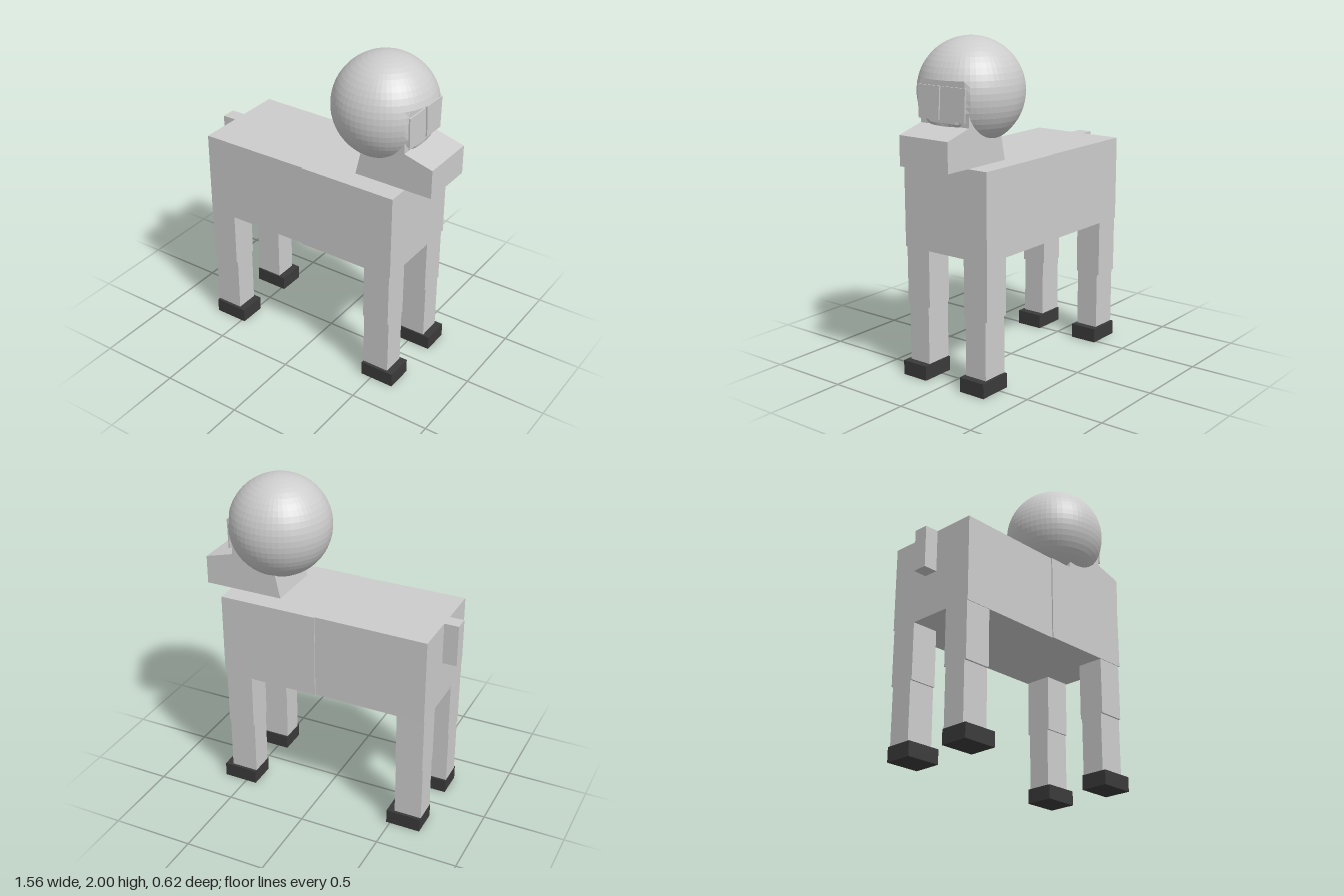
import * as THREE from 'three';

const coat = new THREE.MeshStandardMaterial({ color: 0xcccccc, flatShading: true });
coat.name = 'grey coat';
const dark = new THREE.MeshStandardMaterial({ color: 0x3a3a3a, flatShading: true });
dark.name = 'dark hoof';

export function createModel() {
  const model = new THREE.Group();
  model.name = 'animal';

  const add = (name, geometry, material = coat, parent = model) => {
    const mesh = new THREE.Mesh(geometry, material);
    mesh.name = name;
    parent.add(mesh);
    return mesh;
  };
  // box given by its lower and upper limits on each axis
  const box = (x0, x1, y0, y1, z0, z1) =>
    new THREE.BoxGeometry(x1 - x0, y1 - y0, z1 - z0)
      .translate((x0 + x1) / 2, (y0 + y1) / 2, (z0 + z1) / 2);

  // body in two halves, the rear one narrowing slightly to the middle
  add('frontBody', box(0, 0.61, 0.782, 1.3, -0.303, 0.3));
  const rear = box(-0.692, 0, 0.782, 1.3, -0.303, 0.3);
  const rp = rear.attributes.position;
  for (let i = 0; i < rp.count; i++) {
    if (rp.getX(i) > -0.1) rp.setZ(i, rp.getZ(i) * 0.975);
  }
  rear.computeVertexNormals();
  add('rearBody', rear);
  add('tail', box(-0.78, -0.69, 1.043, 1.3, -0.047, 0.042));

  // legs: wider thigh, narrower shin, hoof reaching forward
  for (const [end, x] of [['rear', -0.692], ['front', 0.432]]) {
    for (const [side, s] of [['Left', -1], ['Right', 1]]) {
      const leg = new THREE.Group();
      leg.name = `${end}${side}Leg`;
      const part = (name, w, y0, y1, zIn, zOut, mat) =>
        add(name, box(x, x + w, y0, y1, Math.min(s * zIn, s * zOut), Math.max(s * zIn, s * zOut)), mat, leg);
      part('upperLeg', 0.17, 0.438, 0.782, 0.13, 0.296, coat);
      part('lowerLeg', 0.17, 0.088, 0.438, 0.14, 0.284, coat);
      part('hoof', 0.215, 0, 0.088, 0.13, 0.302, dark);
      model.add(leg);
    }
  }

  // neck and muzzle in one side profile
  const profile = new THREE.Shape([
    [0.285, 1.3], [0.778, 1.3], [0.778, 1.475], [0.6, 1.523], [0.6, 1.6], [0.335, 1.52],
  ].map(([x, y]) => new THREE.Vector2(x, y)));
  add('muzzle', new THREE.ExtrudeGeometry(profile, { depth: 0.349, bevelEnabled: false })
    .translate(0, 0, -0.175));

  // round head of hair with a flat face set back under a ledge
  const R = 0.308, ledge = 0.087, faceX = 0.25;
  const ledgeAngle = Math.asin(ledge / R);
  const points = [];
  const arc = (from, to, steps) => {
    for (let i = 0; i <= steps; i++) {
      const a = from + (to - from) * i / steps;
      points.push(new THREE.Vector2(Math.max(0, R * Math.cos(a)), R * Math.sin(a)));
    }
  };
  arc(-Math.PI / 2, ledgeAngle, 16);
  const lowerRows = points.length;
  arc(ledgeAngle, Math.PI / 2, 11);
  const head = new THREE.LatheGeometry(points, 56);
  const hp = head.attributes.position;
  for (let i = 0; i < hp.count; i++) {
    if (i % points.length < lowerRows && hp.getX(i) > faceX) hp.setX(i, faceX);
  }
  const headFlat = head.toNonIndexed();
  headFlat.computeVertexNormals();
  add('head', headFlat).position.set(0.366, 1.692, 0);

  // eye plates with a tapered slot between them
  for (const s of [-1, 1]) {
    const eye = new THREE.Shape([
      [0.01, 1.742], [0.172, 1.742], [0.165, 1.553], [0.02, 1.553],
    ].map(([z, y]) => new THREE.Vector2(s * z, y)));
    const plate = new THREE.ExtrudeGeometry(eye, { depth: 0.009, bevelEnabled: false });
    plate.rotateY(Math.PI / 2);
    add(s < 0 ? 'leftEyePlate' : 'rightEyePlate', plate).position.x = 0.618;
  }

  return model;
}
